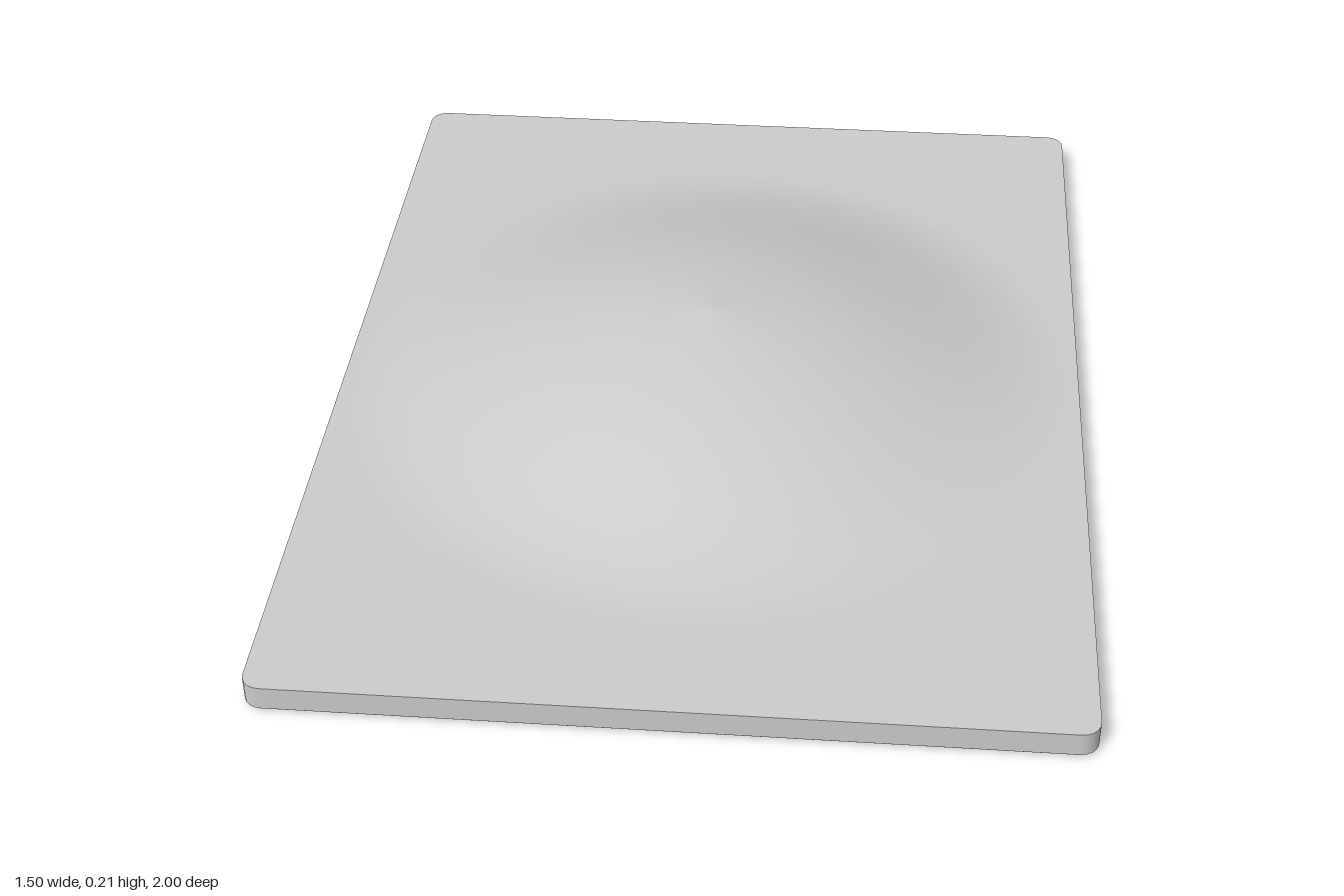
import * as THREE from 'three';

const HALF_X = 0.75, HALF_Z = 1, EDGE = 0.055, CORNER = 0.035;

// Rounded-rectangle outline, evenly divided along its edges, inset by d
function outline(d = 0) {
  const x = HALF_X - d, z = HALF_Z - d, r = CORNER - d, pts = [];
  const corners = [[1, 1], [-1, 1], [-1, -1], [1, -1]];
  corners.forEach(([sx, sz], k) => {
    const centre = new THREE.Vector2(sx * (x - r), sz * (z - r));
    for (let i = 0; i <= 5; i++) {
      const a = (k + i / 5) * Math.PI / 2;
      pts.push(new THREE.Vector2(centre.x + r * Math.cos(a), centre.y + r * Math.sin(a)));
    }
    const [nx, nz] = corners[(k + 1) % 4];
    const a = (k + 1) * Math.PI / 2;
    const next = new THREE.Vector2(nx * (x - r) + r * Math.cos(a), nz * (z - r) + r * Math.sin(a));
    const from = pts[pts.length - 1].clone();
    for (let i = 1; i < 30; i++) pts.push(from.clone().lerp(next, i / 30));
  });
  return pts;
}

// Ring at a fixed height, from flat points
const level = (pts, y) => pts.map(p => new THREE.Vector3(p.x, y, p.y));

// Circle whose points line up with the outline
const circle = (r, y) => level(outline().map(p => p.clone().setLength(r)), y);

// Skin a list of closed rings
function loft(name, rings, material) {
  const n = rings[0].length, pos = [], index = [];
  rings.forEach(ring => ring.forEach(p => pos.push(p.x, p.y, p.z)));
  for (let j = 0; j < rings.length - 1; j++) {
    for (let i = 0; i < n; i++) {
      const a = j * n + i, b = j * n + (i + 1) % n;
      index.push(a, b, a + n, b, b + n, a + n);
    }
  }
  const geo = new THREE.BufferGeometry();
  geo.setAttribute('position', new THREE.Float32BufferAttribute(pos, 3));
  geo.setIndex(index);
  geo.computeVertexNormals();
  const mesh = new THREE.Mesh(geo, material);
  mesh.name = name;
  return mesh;
}

// Height of the upper surface: a soft peak fading out to the flat border
function domeHeight(x, z) {
  const u = Math.min(1, Math.hypot(x / 0.74, z / 0.78));
  return EDGE + 0.16 * (1 - 0.45 * u - 0.1 * u ** 2 - 2.45 * u ** 3 + 2 * u ** 4);
}

export function createModel() {
  const group = new THREE.Group();
  group.name = 'domedPlate';
  const grey = new THREE.MeshStandardMaterial({ color: 0xcccccc, roughness: 0.8, side: THREE.DoubleSide });

  // Domed upper surface, from the border to the peak
  const top = [], steps = 48;
  for (let j = steps; j >= 0; j--) {
    const t = Math.max(j / steps, 1e-4);
    top.push(outline().map(p => new THREE.Vector3(p.x * t, domeHeight(p.x * t, p.y * t), p.y * t)));
  }
  // Loft faces outward when rings run from the underside up to the peak
  const flip = rings => rings.map(r => r.slice().reverse());
  group.add(loft('domedTop', flip(top), grey));

  // Vertical rim and its small lower chamfer
  group.add(loft('rim', flip([level(outline(), 0.008), level(outline(), EDGE)]), grey));
  group.add(loft('lowerChamfer', flip([level(outline(0.008), 0), level(outline(), 0.008)]), grey));

  // Underside with a conical recess ending in a flat disc
  group.add(loft('underside', flip([circle(0.59, 0), level(outline(0.008), 0)]), grey));
  group.add(loft('recessWall', flip([circle(0.2, 0.115), circle(0.4, 0.06), circle(0.59, 0)]), grey));
  group.add(loft('recessCeiling', flip([circle(1e-4, 0.115), circle(0.2, 0.115)]), grey));

  return group;
}
